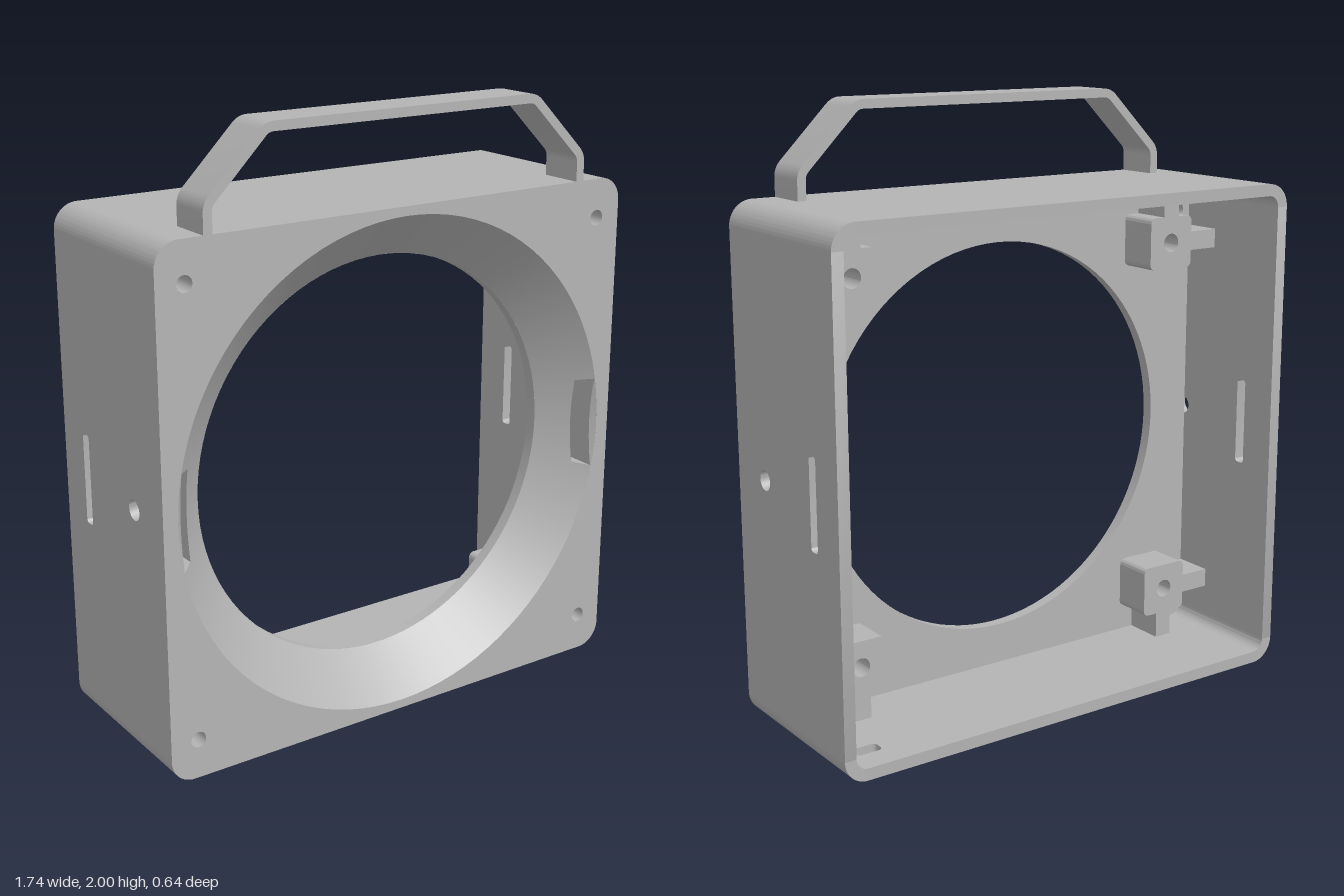
import * as THREE from 'three';
import { toCreasedNormals } from 'three/addons/utils/BufferGeometryUtils.js';
import { ParametricGeometry } from 'three/addons/geometries/ParametricGeometry.js';

const W = 0.87, H = 1.7, CY = H / 2, ZB = -0.32, ZF = 0.32;
const WALL = 0.04, R = 0.08, LIP = 0.13;
const R_FRONT = 0.82, R_BACK = 0.67, SLOT_IN = 0.757, SLOT_OUT = 0.803, SLOT_ANGLE = 0.1936;

// Rounded rectangle around (cx, cy)
function roundRect(cx, cy, w, h, r, Type = THREE.Shape) {
  const s = new Type(), x = w / 2 - r, y = h / 2 - r, q = Math.PI / 2;
  s.moveTo(cx + x + r, cy - y);
  s.absarc(cx + x, cy + y, r, 0, q);
  s.absarc(cx - x, cy + y, r, q, 2 * q);
  s.absarc(cx - x, cy - y, r, 2 * q, 3 * q);
  s.absarc(cx + x, cy - y, r, 3 * q, 4 * q);
  s.closePath();
  return s;
}
const circle = (x, y, r) => new THREE.Path().absarc(x, y, r, 0, Math.PI * 2, true);

function extrude(shape, depth, segments = 12) {
  const g = new THREE.ExtrudeGeometry(shape, { depth, bevelEnabled: false, curveSegments: segments });
  return toCreasedNormals(g, 0.5);
}

export function createModel() {
  const model = new THREE.Group();
  const grey = new THREE.MeshStandardMaterial({ color: 0xb4b4b4, side: THREE.DoubleSide });
  grey.name = 'grey plastic';
  const add = (name, geometry) => {
    const m = new THREE.Mesh(geometry, grey);
    m.name = name;
    model.add(m);
    return m;
  };
  const corners = [[1, 1], [-1, 1], [-1, -1], [1, -1]];
  const screws = corners.map(([sx, sy]) => [sx * 0.775, CY + sy * 0.72]);

  // Front skin and rear lip of the thick front plate
  const skin = roundRect(0, CY, 2 * W, H, R);
  skin.holes.push(circle(0, CY, R_FRONT), ...screws.map(([x, y]) => circle(x, y, 0.026)));
  add('frontSkin', extrude(skin, 0.01, 48).translate(0, 0, ZF - 0.01));
  const lip = roundRect(0, CY, 2 * (W - WALL), H - 2 * WALL, R - WALL);
  lip.holes.push(circle(0, CY, R_BACK), ...screws.map(([x, y]) => circle(x, y, 0.026)));
  add('rearLip', extrude(lip, 0.04, 48).translate(0, 0, LIP));
  for (const [x, y] of screws) {
    const tube = new THREE.CylinderGeometry(0.026, 0.026, ZF - LIP - 0.002, 24, 1, true);
    add('screwHole', tube.rotateX(Math.PI / 2).translate(x, y, (ZF + LIP) / 2));
  }

  // Side walls with a slot and a small hole, in (z, y)
  const depth = ZF - 0.01 - ZB, midZ = (ZF - 0.01 + ZB) / 2;
  for (const side of [1, -1]) {
    const s = roundRect(midZ, CY, depth, H - 2 * R, 0.0001);
    s.holes.push(roundRect(-0.17, CY, 0.04, 0.3, 0.012, THREE.Path), circle(0.14, CY, 0.033));
    const g = extrude(s, WALL).rotateY(-Math.PI / 2);
    add('sideWall', g.translate(side > 0 ? W : -W + WALL, 0, 0));
    add('sideHoleEnd', new THREE.BoxGeometry(0.012, 0.1, 0.05).translate(side * 0.815, CY, LIP + 0.026));
  }

  // Top and floor, in (x, z); the floor has one small slot
  for (const y of [H, WALL]) {
    const s = roundRect(0, midZ, 2 * (W - R), depth, 0.0001);
    if (y === WALL) s.holes.push(roundRect(0.73, -0.205, 0.09, 0.05, 0.015, THREE.Path));
    add(y === H ? 'topWall' : 'floor', extrude(s, WALL).rotateX(Math.PI / 2).translate(0, y, 0));
  }

  // Rounded wall corners
  corners.forEach(([sx, sy], i) => {
    const a = i * Math.PI / 2, s = new THREE.Shape();
    s.absarc(0, 0, R, a, a + Math.PI / 2, false);
    s.absarc(0, 0, R - WALL, a + Math.PI / 2, a, true);
    s.closePath();
    add('cornerWall', extrude(s, depth).translate(sx * (W - R), CY + sy * (CY - R), ZB));
  });

  // Conical opening, split around a pocket on each side
  const coneZ = r => ZF - (R_FRONT - r);
  const surface = (name, fn, nu, nv) => add(name, new ParametricGeometry(fn, nu, nv));
  const put = (t, a, r, z) => t.set(r * Math.cos(a), CY + r * Math.sin(a), z);
  const mix = THREE.MathUtils.lerp;
  const full = r => () => r;
  const straight = x => a => x / Math.abs(Math.cos(a));
  const cone = (a0, a1, rIn, rOut, n) => surface('cone', (u, v, t) => {
    const a = mix(a0, a1, v), r = mix(rIn(a), rOut(a), u);
    put(t, a, r, coneZ(r));
  }, 2, n);
  const pocketZ = 0.18;
  for (const base of [0, Math.PI]) {
    const a0 = base - SLOT_ANGLE, a1 = base + SLOT_ANGLE;
    const inner = straight(SLOT_IN), outer = straight(SLOT_OUT);
    cone(a1, base + Math.PI - SLOT_ANGLE, full(R_BACK), full(R_FRONT), 64);
    cone(a0, a1, full(R_BACK), inner, 16);
    cone(a0, a1, outer, full(R_FRONT), 16);
    surface('pocketFloor', (u, v, t) => {
      const a = mix(a0, a1, v);
      put(t, a, mix(inner(a), outer(a), u), pocketZ);
    }, 1, 16);
    for (const edge of [inner, outer]) {
      surface('pocketSide', (u, v, t) => {
        const a = mix(a0, a1, v), r = edge(a);
        put(t, a, r, mix(pocketZ, coneZ(r), u));
      }, 1, 16);
    }
    for (const a of [a0, a1]) {
      surface('pocketEnd', (u, v, t) => {
        const r = mix(inner(a), outer(a), v);
        put(t, a, r, mix(pocketZ, coneZ(r), u));
      }, 1, 2);
    }
  }

  // Screw bosses inside the box, each with two ribs to the walls
  const bossZ = -0.01, bossD = LIP - bossZ, B = 0.63;
  for (const [sx, sy] of corners) {
    const s = roundRect(0, 0, 0.18, 0.18, 0.02);
    s.holes.push(circle(0, 0, 0.032));
    const x = sx * B, y = CY + sy * B, z = bossZ + bossD / 2;
    add('boss', extrude(s, bossD).translate(x, y, bossZ));
    add('bossRib', new THREE.BoxGeometry(0.12, 0.065, bossD).translate(sx * (B + 0.145), y, z));
    add('bossRib', new THREE.BoxGeometry(0.065, 0.1, bossD).translate(x, CY + sy * (B + 0.135), z));
  }

  // Carrying handle with softened bends
  const outer = [[-0.71, 1.69], [-0.71, 1.79], [-0.5, 2], [0.5, 2], [0.71, 1.79], [0.71, 1.69]];
  const inner = [[0.68, 1.69], [0.68, 1.778], [0.488, 1.97], [-0.488, 1.97], [-0.68, 1.778], [-0.68, 1.69]];
  const bar = new THREE.Shape();
  const trace = (pts, soft) => pts.forEach((p, i) => {
    const v = new THREE.Vector2(...p);
    if (i === 0 || i === pts.length - 1) return i || pts === inner ? bar.lineTo(v.x, v.y) : bar.moveTo(v.x, v.y);
    const toward = q => new THREE.Vector2(...q).sub(v).setLength(soft).add(v);
    const p0 = toward(pts[i - 1]), p1 = toward(pts[i + 1]);
    bar.lineTo(p0.x, p0.y);
    bar.quadraticCurveTo(v.x, v.y, p1.x, p1.y);
  });
  trace(outer, 0.03);
  trace(inner, 0.015);
  bar.closePath();
  add('handle', extrude(bar, 0.15, 6).translate(0, 0, ZF - 0.15));

  return model;
}
